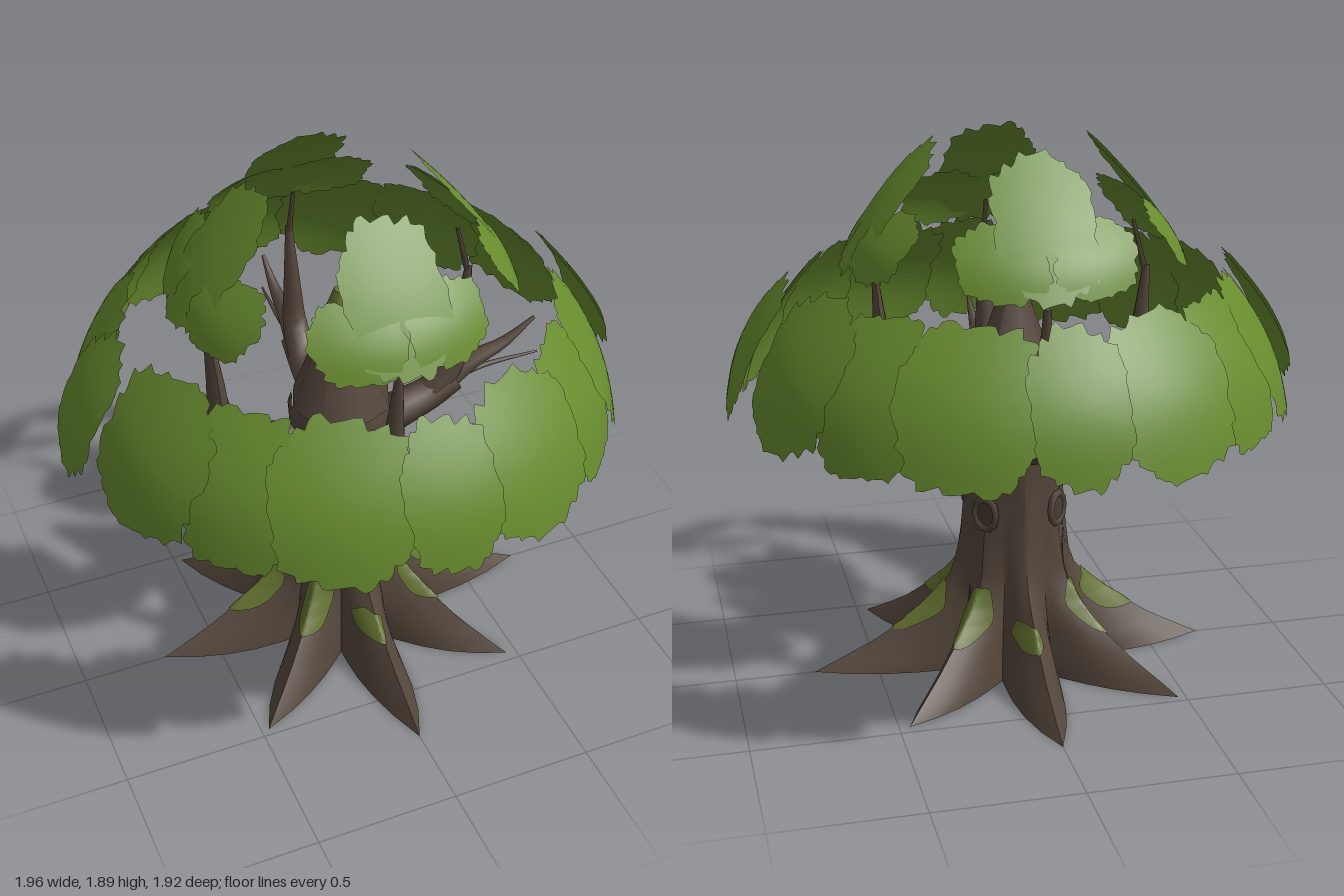
import * as THREE from 'three';
import { toCreasedNormals } from 'three/addons/utils/BufferGeometryUtils.js';

const mat = (name, color, side = THREE.FrontSide) => {
  const m = new THREE.MeshStandardMaterial({ color, side });
  m.name = name;
  return m;
};
const bark = mat('bark', 0x54463b);
const hollow = mat('hollow', 0x4a3e34);
const moss = mat('moss', 0x62702f);
const foliage = mat('foliage', 0x688c2e, THREE.DoubleSide);

// Trunk levels: height, radius on a root crest, radius in the valley between roots
const LEVELS = [
  [0, 0.71, 0.24], [0.03, 0.65, 0.24], [0.07, 0.57, 0.232], [0.11, 0.495, 0.226], [0.17, 0.405, 0.215],
  [0.22, 0.335, 0.205], [0.27, 0.28, 0.195], [0.33, 0.23, 0.188], [0.39, 0.208, 0.182], [0.5, 0.19, 0.175],
  [0.62, 0.18, 0.168], [0.75, 0.176, 0.165], [0.86, 0.182, 0.175], [0.96, 0.186, 0.182], [1.0, 0.175, 0.17],
];
const STEP = Math.PI / 4;

function trunkPoint(theta, y, lift = 0) {
  let i = 0;
  while (i < LEVELS.length - 2 && y > LEVELS[i + 1][0]) i++;
  const [a, b] = [LEVELS[i], LEVELS[i + 1]];
  const t = (y - a[0]) / (b[0] - a[0]);
  const ridge = a[1] + (b[1] - a[1]) * t, valley = a[2] + (b[2] - a[2]) * t;
  const root = Math.round(theta / STEP);
  const off = Math.abs(theta / STEP - root) * 2; // 0 on a crest, 1 in a valley
  const reach = root % 2 ? 0.9 : 1; // the diagonal roots are a little shorter
  const wobble = 1 + 0.015 * Math.sin(theta * 13 + y * 17);
  const r = (valley + (ridge - valley) * reach * Math.pow(1 - off, 1.3)) * wobble + lift;
  return [Math.sin(theta) * r, y + lift * 0.5, Math.cos(theta) * r];
}

function buildGeometry(pos, idx) {
  const g = new THREE.BufferGeometry();
  g.setAttribute('position', new THREE.Float32BufferAttribute(pos, 3));
  g.setIndex(idx);
  g.computeVertexNormals();
  return g;
}

// Disc of rings around a centre; place(a, b, i) maps the unit disc onto a surface
function disc(rings, segs, place) {
  const pos = [...place(0, 0, 0)], idx = [];
  for (let k = 1; k <= rings; k++) {
    for (let j = 0; j < segs; j++) {
      const p = (j / segs) * Math.PI * 2, s = k / rings;
      pos.push(...place(Math.cos(p) * s, Math.sin(p) * s, j));
      const n = (j + 1) % segs, o = 1 + (k - 1) * segs, q = o - segs;
      if (k === 1) idx.push(0, o + j, o + n);
      else idx.push(q + j, o + j, o + n, q + j, o + n, q + n);
    }
  }
  return buildGeometry(pos, idx);
}

function trunkGeometry() {
  const N = 80, pos = [], idx = [];
  for (const [y] of LEVELS) for (let j = 0; j < N; j++) pos.push(...trunkPoint((j / N) * Math.PI * 2, y));
  for (let i = 0; i < LEVELS.length - 1; i++) {
    for (let j = 0; j < N; j++) {
      const n = (j + 1) % N, a = i * N, b = a + N;
      idx.push(a + j, a + n, b + n, a + j, b + n, b + j);
    }
  }
  // Flat underside
  const c = pos.length / 3;
  pos.push(0, 0, 0);
  for (let j = 0; j < N; j++) idx.push(c, (j + 1) % N, j);
  return toCreasedNormals(buildGeometry(pos, idx), 0.6);
}

// Tube that narrows along its path
function branchGeometry(points, r0, r1, sides = 7) {
  const curve = new THREE.CatmullRomCurve3(points.map((p) => new THREE.Vector3(...p)));
  const n = 10, g = new THREE.TubeGeometry(curve, n, 1, sides);
  const p = g.attributes.position, v = new THREE.Vector3();
  for (let i = 0; i < p.count; i++) {
    const t = Math.floor(i / (sides + 1)) / n;
    const c = curve.getPointAt(t);
    v.fromBufferAttribute(p, i).sub(c).multiplyScalar(r0 + (r1 - r0) * t).add(c);
    p.setXYZ(i, v.x, v.y, v.z);
  }
  g.computeVertexNormals();
  return g;
}

// Serrated leaf facing +z, leaning from (top radius, top y) to (bottom radius, bottom y)
function leafGeometry({ u = 0, w, top, bottom, sag, bulge = 0.05, power = 0.8, seed = 0 }) {
  const square = (x) => Math.sign(x) * Math.pow(Math.abs(x), power);
  return disc(5, 72, (a, b, i) => {
    const s = Math.hypot(a, b) || 1;
    const tooth = 1 - s * (0.1 * ((i % 4) / 4) + 0.04 * Math.sin(i * 0.52 + seed) + 0.02 * Math.sin(i * 1.4 + seed));
    const x = u + w * square(a / s) * s * tooth;
    const v = 0.5 + 0.5 * square(b / s) * s * tooth;
    const r = bottom[0] + (top[0] - bottom[0]) * v + bulge * Math.sin(Math.PI * v);
    return [x, bottom[1] + (top[1] - bottom[1]) * v, r - sag * x * x];
  });
}

export function createModel() {
  const tree = new THREE.Group();
  tree.name = 'tree';
  const add = (parent, name, geometry, material, turn = 0) => {
    const m = new THREE.Mesh(geometry, material);
    m.name = name;
    m.rotation.y = turn;
    parent.add(m);
    return m;
  };

  // Trunk with eight spreading roots, and the blunt pointed top
  add(tree, 'trunkAndRoots', trunkGeometry(), bark);
  const cone = (r0, r1, y0, y1) =>
    toCreasedNormals(new THREE.CylinderGeometry(r1, r0, y1 - y0, 8).translate(0, (y0 + y1) / 2, 0), 0.9);
  add(tree, 'trunkTip', cone(0.178, 0.02, 0.99, 1.435), bark);
  add(tree, 'tipMoss', cone(0.06, 0.024, 1.345, 1.442), moss);

  // Moss patches on the upper side of the roots, smaller at the front and back
  for (let i = 0; i < 8; i++) {
    const small = i % 4 === 0;
    const y0 = small ? 0.205 : i % 2 ? 0.255 : 0.225;
    const shift = small ? -0.09 : i % 2 ? 0.05 : -0.02;
    const across = small ? 0.16 : 0.21, tall = small ? 0.04 : 0.085;
    const patch = disc(10, 32, (a, b, j) => {
      const rough = 1 + 0.06 * Math.sin(j * 0.98 + i);
      return trunkPoint(i * STEP + shift + a * across * rough, y0 + b * tall * rough, 0.009);
    });
    add(tree, 'rootMoss', patch, moss);
  }

  // Knot holes between the boughs
  for (let i = 0; i < 4; i++) {
    const knot = new THREE.Group();
    knot.name = 'knot';
    knot.rotation.y = STEP + i * STEP * 2;
    const rim = add(knot, 'knotRim', new THREE.TorusGeometry(0.042, 0.012, 6, 10), bark);
    const hole = add(knot, 'knotHole', new THREE.CircleGeometry(0.042, 10), hollow);
    rim.position.set(0, 0.6, 0.18);
    hole.position.set(0, 0.6, 0.184);
    rim.scale.y = hole.scale.y = 1.3;
    tree.add(knot);
  }

  // Four boughs, each forking to a low and a high limb with thin twigs
  for (let i = 0; i < 4; i++) {
    const bough = new THREE.Group();
    bough.name = 'bough';
    bough.rotation.y = i * STEP * 2;
    add(bough, 'boughBase', branchGeometry([[0, 0.83, 0.1], [0, 0.875, 0.22], [0, 0.91, 0.33], [0, 0.96, 0.43]], 0.075, 0.052, 8), bark);
    add(bough, 'highLimb', branchGeometry([[0, 0.93, 0.35], [0, 1.03, 0.43], [0, 1.2, 0.45], [0, 1.42, 0.47]], 0.055, 0.012), bark);
    add(bough, 'lowLimb', branchGeometry([[0, 0.93, 0.36], [0, 1.01, 0.5], [0, 1.05, 0.62], [0, 1.13, 0.74]], 0.052, 0.006), bark);
    add(bough, 'highTwig', branchGeometry([[0, 1.38, 0.47], [0, 1.46, 0.45], [0, 1.58, 0.42]], 0.012, 0.007, 5), bark);
    add(bough, 'lowTwig', branchGeometry([[0, 0.95, 0.42], [0.01, 0.965, 0.55], [0, 0.975, 0.76]], 0.014, 0.004, 5), bark);
    tree.add(bough);
  }

  // Lower ring: overlapping leaves, widest apart over the boughs and drawn in at the corners
  const RING = [
    { name: 'lowerMiddleLeaf', w: 0.165, topR: 0.735, bottomR: 0.96, bottomY: 0.99, power: 0.8 },
    { name: 'lowerSideLeaf', w: 0.235, topR: 0.69, bottomR: 0.94, bottomY: 0.965, power: 0.75 },
    { name: 'lowerCornerLeaf', w: 0.2, topR: 0.69, bottomR: 0.925, bottomY: 0.965, power: 0.75 },
  ];
  for (let i = 0; i < 16; i++) {
    const kind = RING[i % 4 === 3 ? 1 : i % 4];
    const out = i % 8 === 4 ? 0.022 : 0; // the middle leaves at the sides stand out further
    const leaf = leafGeometry({
      w: kind.w, top: [kind.topR + out, 1.45], bottom: [kind.bottomR + out, kind.bottomY],
      sag: 0.55, power: kind.power, seed: i * 1.7,
    });
    add(tree, kind.name, leaf, foliage, (i * Math.PI) / 8);
  }

  // Upper leaves: one tall with a shorter pair beneath, above each bough
  for (let i = 0; i < 4; i++) {
    const turn = i * STEP * 2, spread = i % 2 ? 0.2 : 0.15;
    const tall = leafGeometry({ w: 0.175, top: [0.265, 1.88], bottom: [0.59, 1.46], sag: 0.6, bulge: 0.025, seed: i });
    add(tree, 'crownLeaf', tall, foliage, turn);
    for (const s of [-1, 1]) {
      const pair = leafGeometry({
        u: s * spread, w: 0.15, top: [0.42, 1.69], bottom: [0.58, 1.465], sag: 0.8, bulge: 0.025, seed: i + s,
      });
      add(tree, 'crownSideLeaf', pair, foliage, turn);
    }
  }
  return tree;
}
